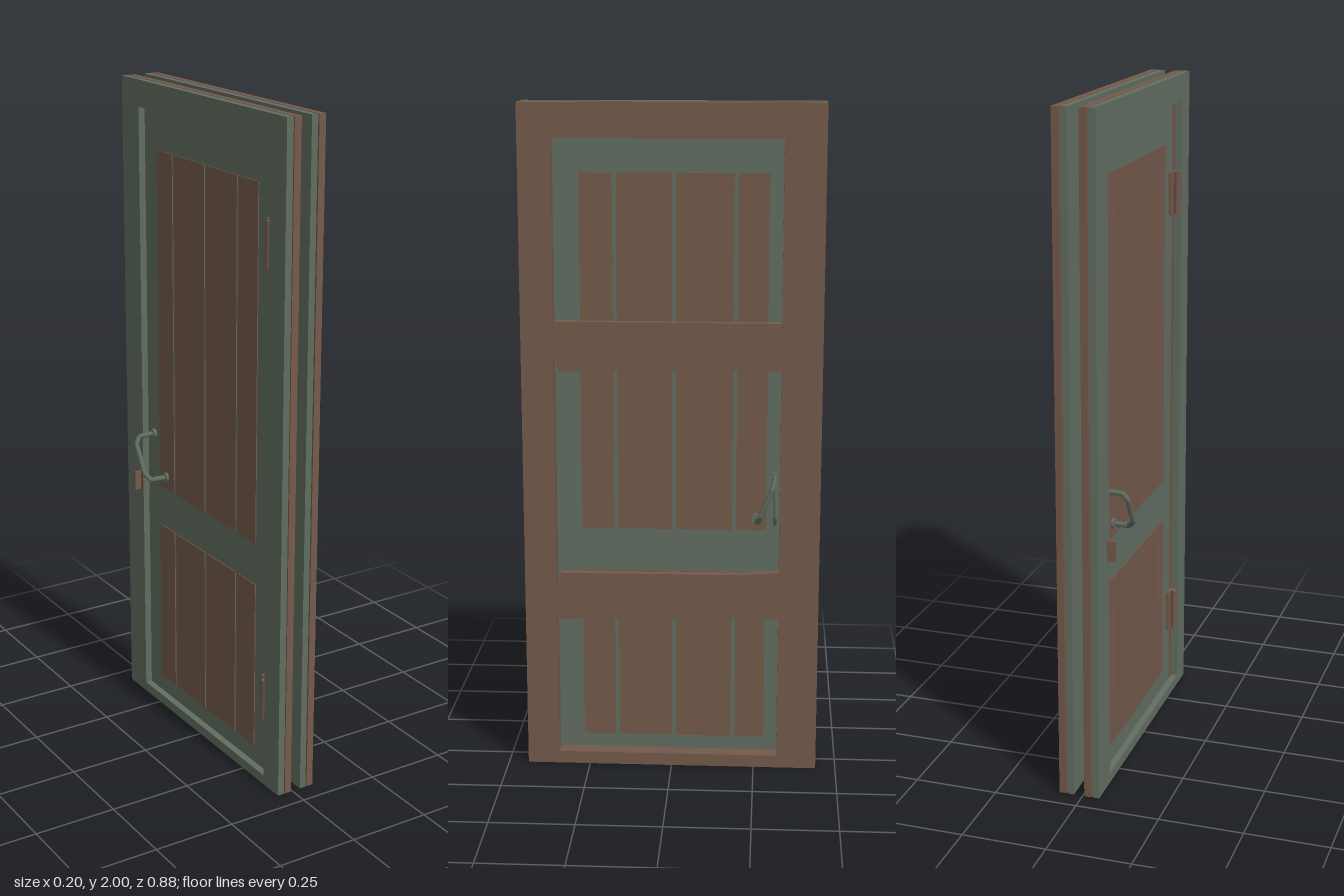
import * as THREE from 'three';

const brown = new THREE.MeshStandardMaterial({ color: 0x74594b });
brown.name = 'brown wood';
const green = new THREE.MeshStandardMaterial({ color: 0x616e61 });
green.name = 'grey green';

export function createModel() {
  const root = new THREE.Group();
  root.name = 'door';

  const add = (parent, name, geo, mat) => {
    const m = new THREE.Mesh(geo, mat);
    m.name = name;
    parent.add(m);
    return m;
  };
  const group = (name) => {
    const g = new THREE.Group();
    g.name = name;
    root.add(g);
    return g;
  };
  // Box given by its limits on each axis
  const box = (parent, name, mat, [x0, x1], [y0, y1], [z0, z1]) => {
    const m = add(parent, name, new THREE.BoxGeometry(x1 - x0, y1 - y0, z1 - z0), mat);
    m.position.set((x0 + x1) / 2, (y0 + y1) / 2, (z0 + z1) / 2);
    return m;
  };
  // Outline in (z, y), extruded along x from x0 to x1
  const slab = (parent, name, mat, x0, x1, outline, hole) => {
    const points = (list) => list.map(([z, y]) => new THREE.Vector2(z, y));
    const shape = new THREE.Shape(points(outline));
    if (hole) shape.holes.push(new THREE.Path(points(hole)));
    const geo = new THREE.ExtrudeGeometry(shape, { depth: x1 - x0, bevelEnabled: false });
    geo.rotateY(-Math.PI / 2).translate(x1, 0, 0);
    return add(parent, name, geo, mat);
  };
  const rect = (z0, z1, y0, y1) => [[z0, y0], [z1, y0], [z1, y1], [z0, y1]];

  // Two door frames, each of a green and a brown layer
  const frame = group('frame');
  const outer = rect(-0.44, 0.44, 0, 2);
  slab(frame, 'backFrameGreen', green, -0.051, -0.03, outer, rect(-0.342, 0.362, 0.03, 1.92));
  slab(frame, 'backFrameBrown', brown, -0.027, -0.005, outer, rect(-0.367, 0.367, 0.013, 1.93));
  slab(frame, 'faceFrameGreen', green, 0.027, 0.047, outer, rect(-0.325, 0.35, 0.033, 1.905));
  slab(frame, 'faceFrameBrown', brown, 0.051, 0.072, outer, rect(-0.32, 0.345, 0.038, 1.9));
  slab(frame, 'jambLining', brown, 0.025, 0.051, rect(-0.325, 0.35, 0.033, 1.905),
    rect(-0.32, 0.345, 0.038, 1.9));

  // Door leaf: green core with brown top and hinge edges
  const leaf = group('leaf');
  box(leaf, 'leafCore', green, [-0.024, 0.022], [0.016, 1.915], [-0.365, 0.35]);
  box(leaf, 'leafTopEdge', brown, [-0.024, 0.022], [1.915, 1.925], [-0.345, 0.362]);
  box(leaf, 'leafHingeEdge', brown, [-0.024, 0.022], [0.016, 1.915], [0.35, 0.362]);

  // Boards on both faces, with narrow green grooves between them
  const seams = [-0.28, -0.185, -0.005, 0.168, 0.27];
  for (const [y0, y1] of [[0.08, 0.61], [0.74, 1.8]]) {
    for (let i = 0; i < 4; i++) {
      const z0 = seams[i] + (i > 0 ? 0.006 : 0);
      const z1 = seams[i + 1] - (i < 3 ? 0.006 : 0);
      box(leaf, 'boardFace', brown, [0.021, 0.025], [y0, y1], [z0, z1]);
      box(leaf, 'boardBack', brown, [-0.027, -0.023], [y0, y1], [z0, z1]);
    }
  }

  // Slightly uneven cross battens
  slab(leaf, 'upperBatten', brown, 0.022, 0.0505,
    [[-0.32, 1.23], [0.24, 1.225], [0.333, 1.222], [0.345, 1.26], [0.345, 1.37], [-0.32, 1.37]]);
  slab(leaf, 'lowerBatten', brown, 0.022, 0.0505,
    [[-0.32, 0.47], [0.345, 0.46], [0.345, 0.54], [0.333, 0.605], [-0.2, 0.607], [-0.32, 0.615]]);

  // Hinges
  for (const y of [0.21, 1.58]) {
    box(root, 'hingeLeaf', brown, [-0.034, -0.024], [y, y + 0.13], [0.315, 0.362]);
    const pin = add(root, 'hingePin', new THREE.CylinderGeometry(0.011, 0.011, 0.13, 8), brown);
    pin.position.set(-0.042, y + 0.065, 0.35);
  }

  // Bent pull handles on both sides
  const rod = (name, points, radius) => {
    const path = new THREE.CurvePath();
    const v = points.map((p) => new THREE.Vector3(...p));
    for (let i = 1; i < v.length; i++) path.add(new THREE.LineCurve3(v[i - 1], v[i]));
    add(root, name, new THREE.TubeGeometry(path, 32, radius, 6), green);
  };
  const mount = (x, y, z) => {
    const m = add(root, 'handleMount', new THREE.CylinderGeometry(0.016, 0.016, 0.01, 8), green);
    m.rotation.z = Math.PI / 2;
    m.position.set(x, y, z);
  };
  rod('faceHandle', [[0.022, 0.905, -0.305], [0.077, 0.905, -0.305], [0.091, 0.885, -0.298],
    [0.091, 0.8, -0.264], [0.077, 0.778, -0.254], [0.022, 0.778, -0.252]], 0.008);
  rod('faceHandleBrace', [[0.085, 0.895, -0.306], [0.09, 0.8, -0.309],
    [0.077, 0.775, -0.308], [0.022, 0.775, -0.305]], 0.006);
  rod('backHandle', [[-0.022, 0.905, -0.312], [-0.08, 0.905, -0.312], [-0.095, 0.885, -0.305],
    [-0.095, 0.8, -0.255], [-0.08, 0.782, -0.241], [-0.022, 0.782, -0.238]], 0.008);
  mount(0.028, 0.905, -0.302);
  mount(0.028, 0.778, -0.25);
  mount(0.028, 0.775, -0.3);
  mount(-0.03, 0.905, -0.312);
  mount(-0.03, 0.782, -0.238);

  // Latch tongue beside the back handle
  slab(root, 'latchPlate', brown, -0.056, -0.05, rect(-0.362, -0.335, 0.71, 0.775));
  box(root, 'latchTongue', brown, [-0.076, -0.05], [0.712, 0.772], [-0.357, -0.35]);

  return root;
}
